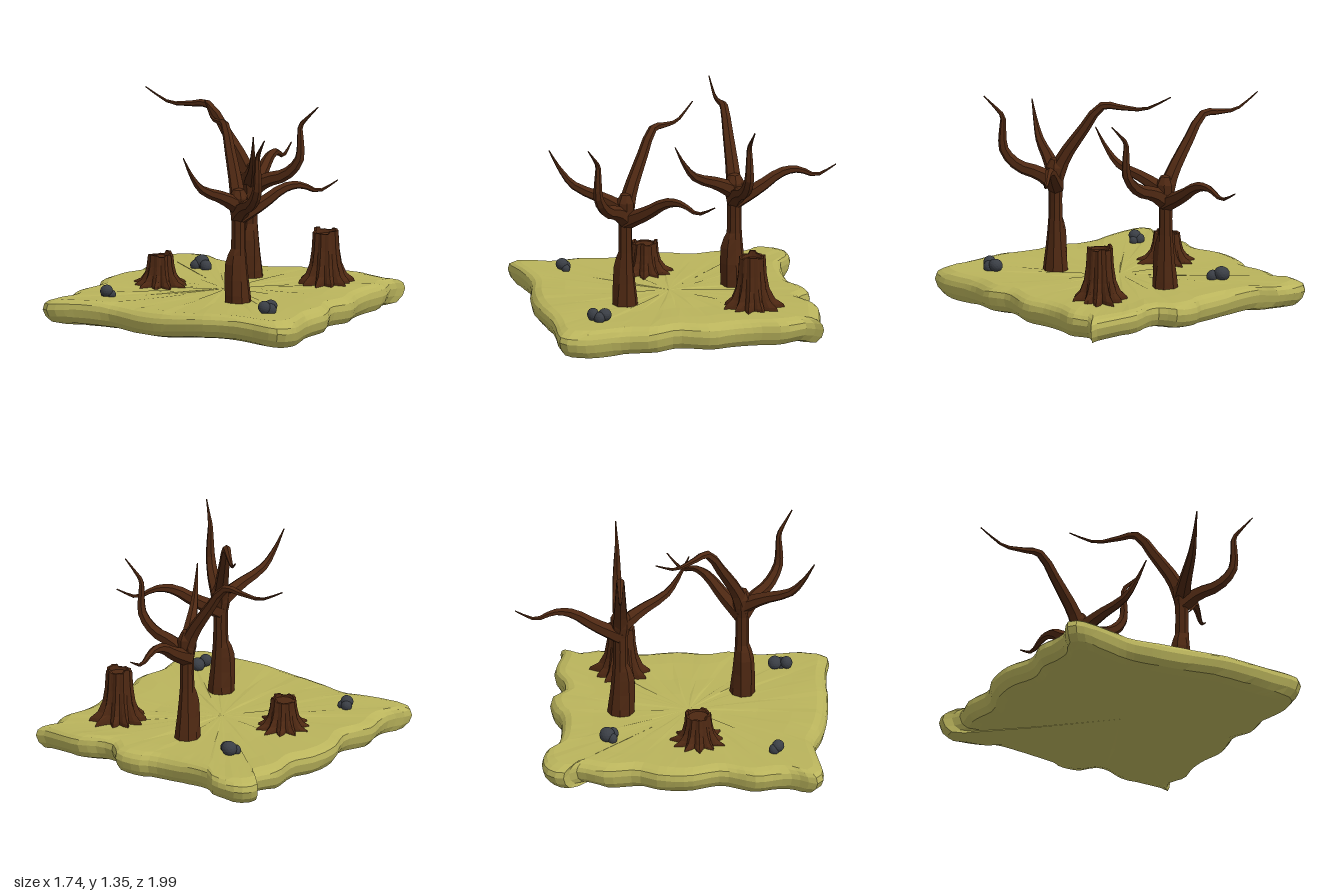
import * as THREE from 'three';

const mat = (color) => new THREE.MeshStandardMaterial({ color, flatShading: true, roughness: 0.9 });
const bark = mat(0x4e2812), grass = mat(0xbab45c), stone = mat(0x3a3e45);

// repeatable noise in -1..1
const noise = (a, b = 0) => {
  const s = Math.sin(a * 127.1 + b * 311.7) * 43758.5453;
  return (s - Math.floor(s)) * 2 - 1;
};

// skin over a list of closed rings, each ring an array of Vector3
function loft(rings, material, name) {
  const n = rings[0].length, pos = [], idx = [];
  rings.forEach((ring) => ring.forEach((p) => pos.push(p.x, p.y, p.z)));
  for (let i = 0; i < rings.length - 1; i++) {
    for (let j = 0; j < n; j++) {
      const a = i * n + j, b = i * n + (j + 1) % n;
      idx.push(a, a + n, b, b, a + n, b + n);
    }
  }
  const g = new THREE.BufferGeometry();
  g.setAttribute('position', new THREE.Float32BufferAttribute(pos, 3));
  g.setIndex(idx);
  g.computeVertexNormals();
  const m = new THREE.Mesh(g, material);
  m.name = name;
  return m;
}

const ringOf = (n, fn) => Array.from({ length: n }, (_, j) => fn(j, (j / n) * Math.PI * 2));

// ground slab: wavy outline (x, z), swept through a bulging edge profile
const OUTLINE = [
  [0.84, -0.745], [0.79, -0.66], [0.83, -0.5], [0.8, -0.35], [0.8, -0.2], [0.84, -0.02], [0.81, 0.2],
  [0.86, 0.35], [0.83, 0.55], [0.87, 0.83], [0.83, 0.95], [0.6, 0.955], [0.43, 0.96], [0.3, 0.975],
  [0, 0.98], [-0.2, 0.96], [-0.4, 0.92], [-0.6, 0.95], [-0.82, 0.99], [-0.87, 0.95], [-0.81, 0.8],
  [-0.82, 0.68], [-0.85, 0.57], [-0.8, 0.35], [-0.87, 0.15], [-0.86, -0.05], [-0.8, -0.2], [-0.83, -0.4],
  [-0.79, -0.6], [-0.87, -0.67], [-0.81, -0.78], [-0.61, -0.795], [-0.5, -0.72], [-0.2, -0.7],
  [-0.05, -0.72], [0, -0.755], [0.17, -0.78], [0.26, -0.7], [0.36, -0.71], [0.5, -0.77], [0.8, -0.735],
];

function buildGround() {
  const curve = new THREE.CatmullRomCurve3(OUTLINE.map(([x, z]) => new THREE.Vector3(x, 0, z)), true);
  const edge = curve.getSpacedPoints(120).slice(0, 120);
  // scale from centre, height, how much the edge wave applies
  const profile = [
    [0, 0.04, 0], [0.5, 0.035, 0.2], [0.88, 0.035, 0.8], [0.95, 0.05, 1], [0.985, 0.09, 1], [1, 0.14, 0.9],
    [0.99, 0.175, 0.8], [0.965, 0.195, 0.6], [0.92, 0.208, 0.4], [0.75, 0.208, 0.15], [0.5, 0.205, 0.1],
    [0.25, 0.205, 0], [0, 0.205, 0],
  ];
  const rings = profile.map(([s, y, w], i) => edge.map((p, j) => {
    const wave = -0.017 * Math.cos((p.x + 0.1) * 6) + 0.008 * Math.sin(p.z * 7);
    const bump = s > 0 ? 0.004 * noise(i, j >> 2) : 0;
    return new THREE.Vector3(p.x * s, y + w * wave + bump, 0.1 + (p.z - 0.1) * s);
  }));
  return loft(rings, grass, 'ground');
}

// tapered branch bending in a vertical plane; points are (distance out, height)
function buildBranch(angle, points) {
  const curve = new THREE.CatmullRomCurve3(points.map(([r, y]) => new THREE.Vector3(r, y, 0)));
  const steps = points.length * 2, rings = [];
  for (let i = 0; i <= steps; i++) {
    const t = i / steps, c = curve.getPoint(t), d = curve.getTangent(t);
    const r = 0.004 + 0.052 * Math.pow(1 - t, 1.15);
    rings.push(ringOf(6, (j, a) => new THREE.Vector3(
      c.x + d.y * r * Math.cos(a), c.y - d.x * r * Math.cos(a), r * Math.sin(a))));
  }
  const end = curve.getPoint(1);
  rings.push(ringOf(6, () => end.clone()));
  const m = loft(rings, bark, 'branch');
  m.rotation.y = -THREE.MathUtils.degToRad(angle);
  return m;
}

function buildTree(x, z, turn) {
  const tree = new THREE.Group();
  tree.name = 'bareTree';
  // trunk: height, radius, bulge towards the front
  const trunk = [
    [0.18, 0, 0], [0.18, 0.085, 0], [0.25, 0.078, 0.01], [0.35, 0.065, 0.025], [0.45, 0.055, 0.032],
    [0.51, 0.05, 0.018], [0.55, 0.047, 0], [0.65, 0.045, 0], [0.75, 0.046, 0], [0.82, 0.06, 0],
    [0.88, 0.062, 0], [0.93, 0.035, 0], [0.94, 0, 0],
  ];
  tree.add(loft(trunk.map(([y, r, b]) => ringOf(8, (j, a) => {
    const rr = r + b * Math.max(0, Math.sin(a)) + (r ? 0.004 * noise(j, 3) : 0);
    return new THREE.Vector3(rr * Math.cos(a), y, rr * Math.sin(a));
  })), bark, 'trunk'));
  tree.add(
    buildBranch(178, [[0, 0.82], [0.05, 0.94], [0.17, 1.12], [0.3, 1.29], [0.42, 1.285], [0.57, 1.28], [0.74, 1.365]]),
    buildBranch(-95, [[0, 0.75], [0.16, 0.83], [0.31, 0.92], [0.42, 0.93], [0.54, 0.885], [0.67, 0.945]]),
    buildBranch(60.5, [[0, 0.82], [0.14, 0.895], [0.33, 0.975], [0.42, 1.08], [0.49, 1.2]]),
    buildBranch(-6, [[0, 0.76], [0.1, 0.83], [0.24, 0.88], [0.33, 0.98], [0.34, 1.1], [0.34, 1.2], [0.39, 1.26], [0.46, 1.33]]),
  );
  tree.position.set(x, 0, z);
  tree.rotation.y = turn;
  return tree;
}

// stump with star-shaped roots and a jagged hollow rim
function buildStump(x, z, height, turn) {
  const roots = [0.105, 0.09, 0.05, 0.075, 0.06, 0.08, 0.075, 0.07, 0.08, 0.075, 0.06];
  const ridge = [1, 0.45, 0, 0.45];
  // height fraction, radius, root reach, rim jaggedness
  const profile = [
    [-0.05, 0, 0, 0], [-0.05, 0.11, 1, 0], [0.06, 0.107, 0.9, 0], [0.16, 0.1, 0.45, 0], [0.35, 0.09, 0.2, 0],
    [0.6, 0.082, 0.12, 0], [0.94, 0.076, 0.1, 1], [0.94, 0.062, 0.05, 1], [0.86, 0.06, 0, 0], [0.86, 0, 0, 0],
  ];
  const rings = profile.map(([f, r, reach, jag]) => ringOf(44, (j, a) => {
    const k = j >> 2, rr = r + (reach ? reach * roots[k] * ridge[j % 4] : 0);
    return new THREE.Vector3(rr * Math.cos(a + 0.2), f * height + jag * 0.014 * noise(k, 5), rr * Math.sin(a + 0.2));
  }));
  const m = loft(rings, bark, 'stump');
  m.position.set(x, 0.205, z);
  m.rotation.y = turn;
  return m;
}

// rock pile made of squashed lumps: x, y, z, radius
function buildRocks(lumps) {
  const g = new THREE.Group();
  g.name = 'rocks';
  lumps.forEach(([x, y, z, r], i) => {
    const m = new THREE.Mesh(new THREE.IcosahedronGeometry(r, 2), stone);
    m.name = 'rock';
    m.position.set(x, y, z);
    m.rotation.set(i, i * 2, 0.4);
    m.scale.set(1, 0.9, 0.95);
    g.add(m);
  });
  return g;
}

export function createModel() {
  const model = new THREE.Group();
  model.name = 'deadForestPatch';
  model.add(
    buildGround(),
    buildTree(-0.05, -0.33, 0),
    buildTree(0.26, 0.43, -0.83),
    buildStump(-0.43, 0.18, 0.21, 0),
    buildStump(0.48, -0.345, 0.365, 1.6),
    buildRocks([[-0.44, 0.245, -0.4, 0.052], [-0.39, 0.23, -0.365, 0.04], [-0.465, 0.23, -0.365, 0.035]]),
    buildRocks([[-0.55, 0.245, 0.69, 0.042], [-0.565, 0.225, 0.665, 0.037], [-0.525, 0.22, 0.67, 0.03]]),
    buildRocks([[0.59, 0.24, 0.625, 0.046], [0.585, 0.245, 0.7, 0.042], [0.61, 0.225, 0.665, 0.042]]),
  );
  return model;
}
